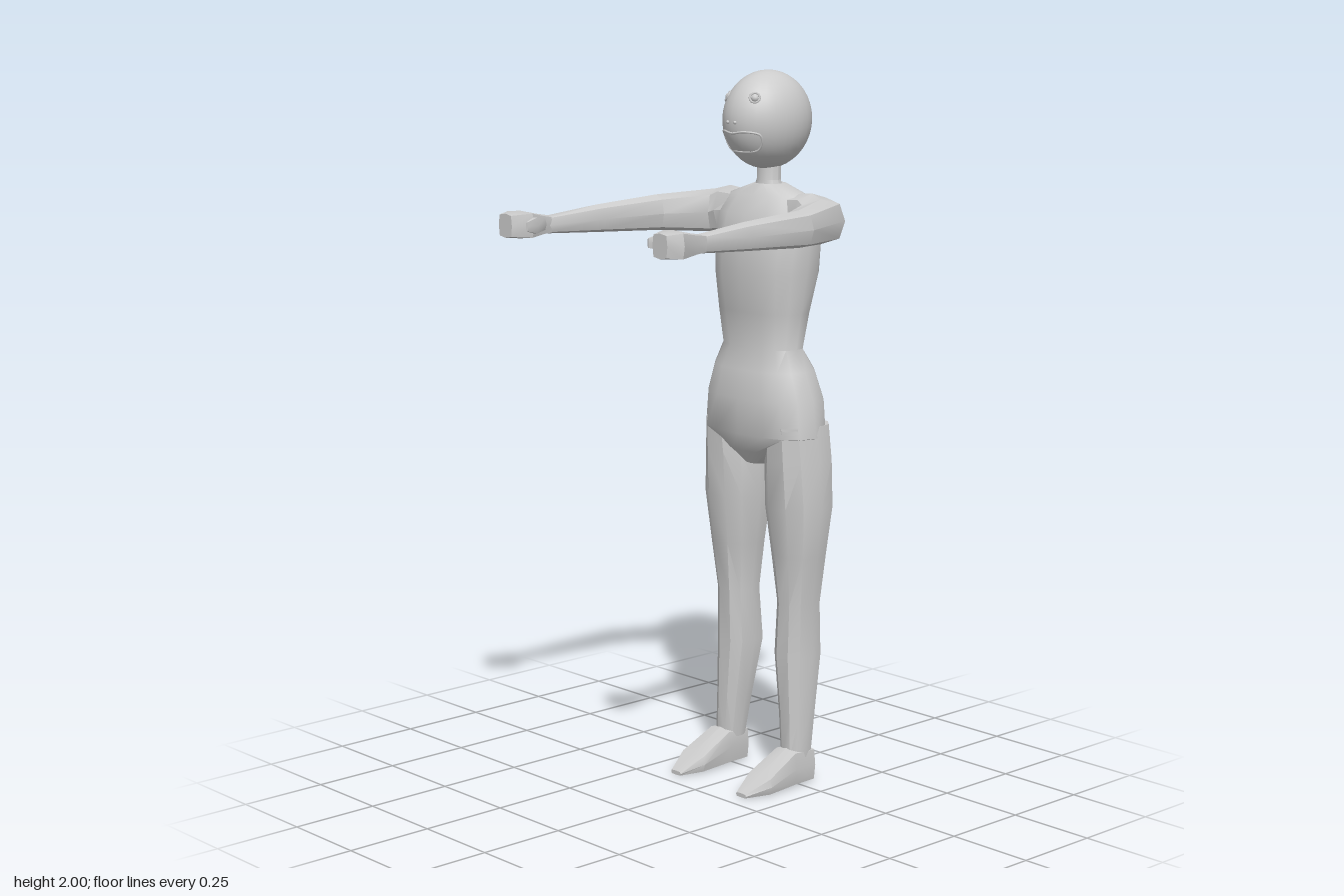
import * as THREE from 'three';
import { toCreasedNormals } from 'three/addons/utils/BufferGeometryUtils.js';

const grey = new THREE.MeshStandardMaterial({ color: 0xcccccc });

function part(name, geometry, parent) {
  const mesh = new THREE.Mesh(geometry, grey);
  mesh.name = name;
  parent.add(mesh);
  return mesh;
}

// Skin a row of rounded-box rings, each { c: centre, s: half side, u: half rise }.
// side = -1 mirrors the result across x. power < 1 makes rings boxier.
function loft(rings, n, power, side = 1, crease = 0.6) {
  const pos = [], idx = [];
  const bend = (v) => Math.sign(v) * Math.pow(Math.abs(v) < 1e-6 ? 0 : Math.abs(v), power);
  const push = (p) => pos.push(p.x * side, p.y, p.z);
  const tri = (a, b, c) => (side > 0 ? idx.push(a, b, c) : idx.push(a, c, b));
  for (const { c, s, u } of rings) {
    for (let j = 0; j < n; j++) {
      const a = (j / n) * Math.PI * 2;
      push(c.clone().addScaledVector(s, bend(Math.cos(a))).addScaledVector(u, bend(Math.sin(a))));
    }
  }
  const last = rings.length - 1;
  push(rings[0].c);
  push(rings[last].c);
  const startCap = rings.length * n, endCap = startCap + 1;
  for (let j = 0; j < n; j++) {
    const k = (j + 1) % n;
    for (let i = 0; i < last; i++) {
      const a = i * n + j, b = i * n + k;
      tri(a, b, b + n);
      tri(a, b + n, a + n);
    }
    tri(startCap, k, j);
    tri(endCap, last * n + j, last * n + k);
  }
  const g = new THREE.BufferGeometry();
  g.setAttribute('position', new THREE.Float32BufferAttribute(pos, 3));
  g.setIndex(idx);
  return toCreasedNormals(g, crease);
}

// Level ring, listed from the top down: height, x range, z range
const level = ([y, x0, x1, z0, z1]) => ({
  c: new THREE.Vector3((x0 + x1) / 2, y, (z0 + z1) / 2),
  s: new THREE.Vector3((x1 - x0) / 2, 0, 0),
  u: new THREE.Vector3(0, 0, (z1 - z0) / 2),
});

// Upright ring: inner x, z; outer x, z; y range
const upright = ([ix, iz, ox, oz, y0, y1]) => ({
  c: new THREE.Vector3((ix + ox) / 2, (y0 + y1) / 2, (iz + oz) / 2),
  s: new THREE.Vector3((ox - ix) / 2, 0, (oz - iz) / 2),
  u: new THREE.Vector3(0, (y1 - y0) / 2, 0),
});

// Head ellipsoid and points on its face
const HEAD = new THREE.Vector3(0, 1.865, -0.27);
const HEAD_R = new THREE.Vector3(0.107, 0.135, 0.137);
function onFace(x, y) {
  const nx = x / HEAD_R.x, ny = (y - HEAD.y) / HEAD_R.y;
  return new THREE.Vector3(x, y, HEAD.z + HEAD_R.z * Math.sqrt(Math.max(0, 1 - nx * nx - ny * ny)));
}

function buildHead(parent) {
  const head = new THREE.Group();
  head.name = 'head';
  parent.add(head);

  part('skull', new THREE.SphereGeometry(1, 28, 20).scale(HEAD_R.x, HEAD_R.y, HEAD_R.z), head).position.copy(HEAD);

  // Eyes with raised rims, and nostrils
  for (const side of [1, -1]) {
    const p = onFace(side * 0.053, 1.93);
    const out = p.clone().sub(HEAD).divide(HEAD_R).divide(HEAD_R).normalize();
    const rim = part('eyeRim', new THREE.TorusGeometry(0.014, 0.003, 6, 14), head);
    rim.position.copy(p);
    rim.lookAt(p.clone().add(out));
    part('eye', new THREE.SphereGeometry(0.011, 12, 8), head).position.copy(p).addScaledVector(out, -0.004);
    part('nostril', new THREE.SphereGeometry(0.005, 8, 6), head).position.copy(onFace(side * 0.014, 1.863));
  }

  // Lips: a closed ridge round the muzzle
  const lips = [[-0.072, 1.828], [-0.04, 1.838], [0, 1.833], [0.04, 1.838], [0.072, 1.828],
    [0.058, 1.79], [0, 1.782], [-0.058, 1.79]].map(([x, y]) => onFace(x, y));
  part('lips', new THREE.TubeGeometry(new THREE.CatmullRomCurve3(lips, true), 48, 0.003, 6, true), head);
}

export function createModel() {
  const model = new THREE.Group();
  model.name = 'figure';
  buildHead(model);

  // Neck
  part('neck', loft([
    [1.77, -0.036, 0.036, -0.31, -0.245],
    [1.7, -0.036, 0.036, -0.308, -0.245],
    [1.64, -0.06, 0.06, -0.325, -0.23],
  ].map(level), 12, 1), model);

  // Torso, from shoulders to crotch
  part('torso', loft([
    [1.69, -0.04, 0.04, -0.325, -0.235],
    [1.66, -0.13, 0.13, -0.345, -0.215],
    [1.61, -0.158, 0.158, -0.37, -0.185],
    [1.54, -0.165, 0.165, -0.382, -0.168],
    [1.45, -0.158, 0.158, -0.38, -0.162],
    [1.34, -0.147, 0.147, -0.345, -0.175],
    [1.24, -0.133, 0.133, -0.325, -0.188],
    [1.18, -0.162, 0.162, -0.358, -0.168],
    [1.1, -0.19, 0.19, -0.376, -0.16],
    [1.0, -0.2, 0.2, -0.376, -0.16],
    [0.95, -0.1, 0.1, -0.355, -0.18],
    [0.91, -0.04, 0.04, -0.33, -0.21],
  ].map(level), 16, 0.78, 1, 0.8), model);

  for (const side of [1, -1]) {
    const tag = side > 0 ? 'left' : 'right';

    // Leg
    part(tag + 'Leg', loft([
      [1.03, 0.05, 0.195, -0.37, -0.18],
      [0.93, 0.034, 0.206, -0.374, -0.185],
      [0.8, 0.03, 0.214, -0.37, -0.192],
      [0.66, 0.048, 0.198, -0.352, -0.21],
      [0.52, 0.066, 0.178, -0.342, -0.224],
      [0.37, 0.056, 0.178, -0.35, -0.222],
      [0.2, 0.08, 0.176, -0.322, -0.225],
      [0.08, 0.094, 0.175, -0.304, -0.225],
    ].map(level), 10, 0.85, side), model);

    // Foot, heel to toe
    part(tag + 'Foot', loft([
      [0.097, -0.302, 0.176, -0.302, 0, 0.1],
      [0.092, -0.225, 0.18, -0.225, 0, 0.105],
      [0.088, -0.12, 0.187, -0.12, 0, 0.05],
      [0.115, -0.05, 0.155, -0.05, 0, 0.012],
    ].map(upright), 8, 0.4, side), model);

    // Shoulder, upper arm and forearm
    part(tag + 'Arm', loft([
      [0.09, -0.225, 0.09, -0.345, 1.56, 1.665],
      [0.158, -0.215, 0.165, -0.352, 1.54, 1.672],
      [0.175, -0.21, 0.238, -0.335, 1.538, 1.66],
      [0.236, -0.1, 0.328, -0.125, 1.548, 1.648],
      [0.258, 0.1, 0.327, 0.1, 1.558, 1.634],
      [0.276, 0.28, 0.325, 0.26, 1.567, 1.616],
    ].map(upright), 8, 0.75, side), model);

    // Hand
    part(tag + 'Hand', loft([
      [0.277, 0.27, 0.324, 0.255, 1.568, 1.616],
      [0.272, 0.3, 0.335, 0.298, 1.566, 1.622],
      [0.254, 0.35, 0.359, 0.365, 1.56, 1.635],
      [0.282, 0.405, 0.338, 0.405, 1.565, 1.63],
    ].map(upright), 8, 0.4, side), model);

    // Thumb
    part(tag + 'Thumb', loft([
      [0.266, 0.298, 0.285, 0.31, 1.58, 1.615],
      [0.243, 0.345, 0.262, 0.352, 1.575, 1.622],
      [0.24, 0.384, 0.246, 0.386, 1.585, 1.612],
    ].map(upright), 6, 0.7, side), model);
  }
  return model;
}
